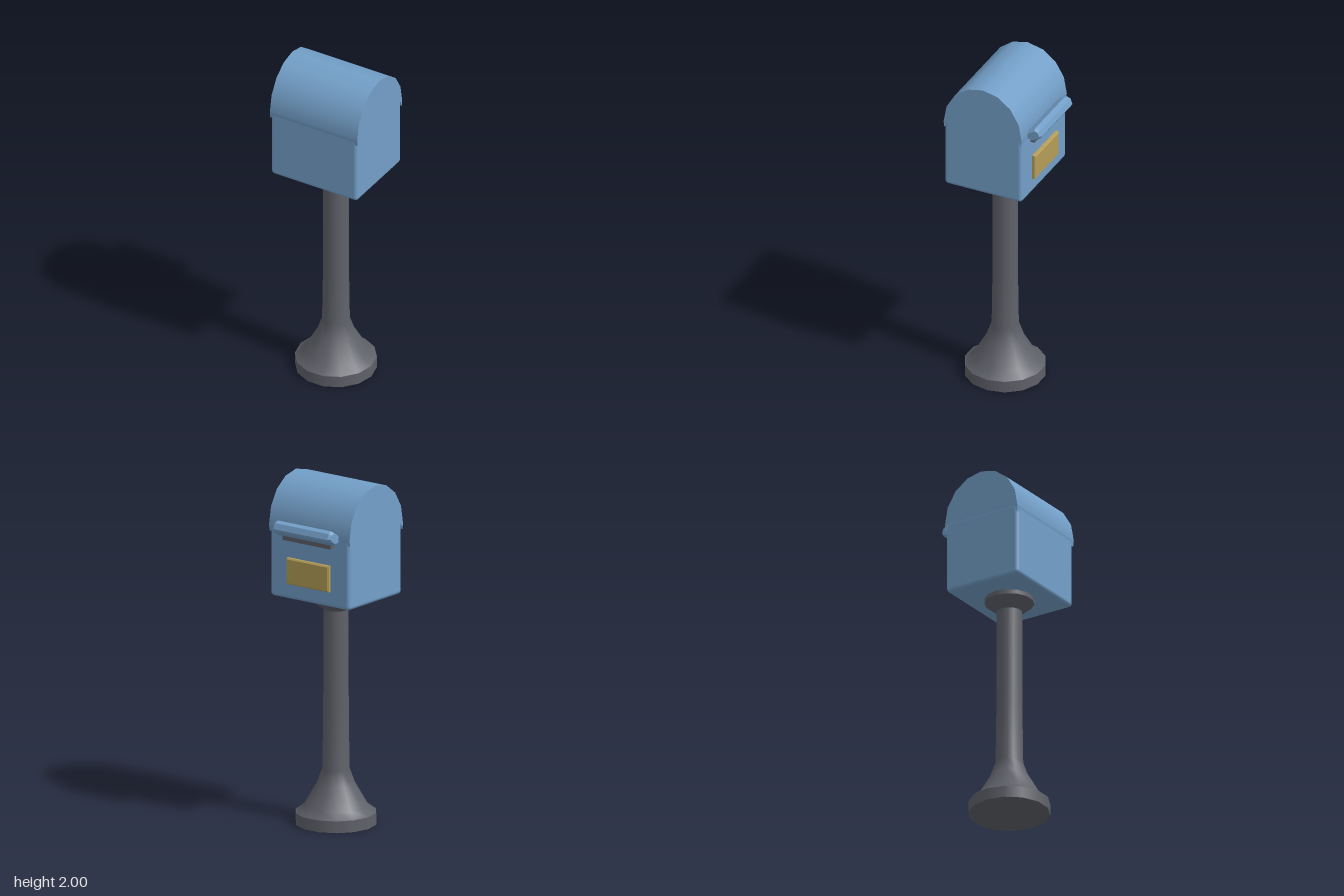
import * as THREE from 'three';
import { RoundedBoxGeometry } from 'three/addons/geometries/RoundedBoxGeometry.js';

const SIDES = 14;
const AXIS_Z = 0.04; // post and box share this centre line

function material(name, color) {
  const m = new THREE.MeshStandardMaterial({ color });
  m.name = name;
  return m;
}

export function createModel() {
  const group = new THREE.Group();
  const blue = material('boxBlue', 0x739fc8);
  const grey = material('postGrey', 0x5f6169);
  const gold = material('plateGold', 0xb59e58);

  const add = (name, geometry, mat, x = 0, y = 0, z = 0) => {
    const mesh = new THREE.Mesh(geometry, mat);
    mesh.name = name;
    mesh.position.set(x, y, z);
    group.add(mesh);
    return mesh;
  };

  // Round parts of the post, with the widest corners along x
  const disc = (name, rTop, rBottom, y0, y1) => {
    const g = new THREE.CylinderGeometry(rTop, rBottom, y1 - y0, SIDES);
    g.rotateY(Math.PI / 2);
    add(name, g, grey, 0, (y0 + y1) / 2, AXIS_Z);
  };
  disc('baseDisc', 0.23, 0.23, 0, 0.068);
  const profile = [[0.23, 0.066], [0.18, 0.105], [0.108, 0.23], [0.078, 0.315], [0.073, 0.65], [0.072, 1.25]];
  const post = new THREE.LatheGeometry(profile.map(([r, y]) => new THREE.Vector2(r, y)), SIDES);
  post.rotateY(Math.PI / 2);
  add('post', post, grey, 0, 0, AXIS_Z);
  disc('collarFlare', 0.14, 0.072, 1.24, 1.295);
  disc('collarRim', 0.14, 0.14, 1.295, 1.325);

  // Box with softened edges
  add('boxBody', new RoundedBoxGeometry(0.562, 0.43, 0.482, 3, 0.022), blue, 0, 1.535, AXIS_Z);

  // Arched lid: half a cylinder lying along x
  const lid = new THREE.CylinderGeometry(0.243, 0.243, 0.57, 8, 1, false, 0, Math.PI);
  lid.rotateZ(Math.PI / 2);
  lid.scale(1, 0.27 / 0.243, 1);
  add('lid', lid, blue, 0, 1.73, AXIS_Z);

  // Pointed lips where the lid meets the box
  for (const s of [1, -1]) {
    const shape = new THREE.Shape([
      new THREE.Vector2(-s * 0.243, 1.731),
      new THREE.Vector2(-s * 0.238, 1.695),
      new THREE.Vector2(-s * 0.225, 1.731),
    ]);
    const lip = new THREE.ExtrudeGeometry(shape, { depth: 0.57, bevelEnabled: false });
    lip.translate(0, 0, -0.285);
    lip.rotateY(Math.PI / 2);
    add(s > 0 ? 'frontLip' : 'backLip', lip, blue, 0, 0, AXIS_Z);
  }

  // Tilted hood with chamfered ends; section given as (z, y)
  const section = [[-0.19, 1.74], [-0.246, 1.776], [-0.272, 1.768], [-0.284, 1.738], [-0.275, 1.722], [-0.226, 1.692], [-0.19, 1.7]];
  const inset = 0.011;
  const cz = -0.237, cy = 1.733;
  const shrink = (v, c) => c + (v - c) * (1 - inset / 0.045);
  const hoodShape = new THREE.Shape(section.map(([z, y]) => new THREE.Vector2(-shrink(z, cz), shrink(y, cy))));
  const hood = new THREE.ExtrudeGeometry(hoodShape, {
    depth: 0.38, bevelEnabled: true, bevelThickness: 0.017, bevelSize: inset, bevelSegments: 1,
  });
  hood.translate(0, 0, -0.19);
  hood.rotateY(Math.PI / 2);
  add('slotHood', hood, blue);

  // Dark slot below the hood
  add('letterSlot', new THREE.BoxGeometry(0.34, 0.04, 0.035), grey, 0, 1.685, -0.209);

  // Name plate with a bevelled rim
  const plateShape = new THREE.Shape([[-0.142, -0.068], [0.142, -0.068], [0.142, 0.068], [-0.142, 0.068]]
    .map(([x, y]) => new THREE.Vector2(x, y)));
  const plate = new THREE.ExtrudeGeometry(plateShape, {
    depth: 0.016, bevelEnabled: true, bevelThickness: 0.006, bevelSize: 0.008, bevelSegments: 1,
  });
  plate.rotateY(Math.PI);
  add('namePlate', plate, gold, 0, 1.487, -0.2);

  return group;
}
